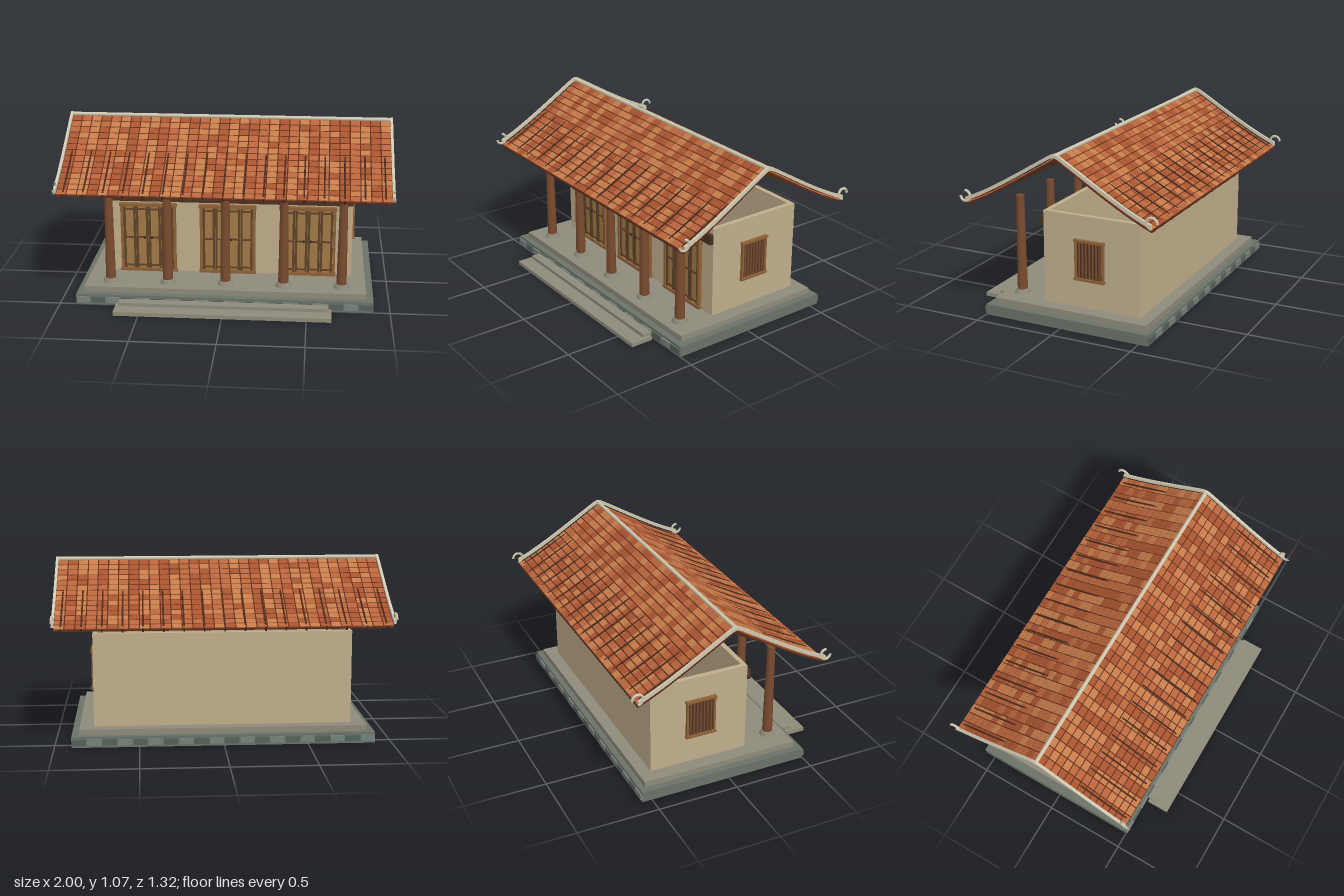
import * as THREE from 'three';
import { mergeGeometries } from 'three/addons/utils/BufferGeometryUtils.js';

const mats = {};
const mat = (color) => (mats[color] ??= new THREE.MeshStandardMaterial({ color }));
const COL = {
  stone: 0x6b7268, stoneDark: 0x56615c, stoneLight: 0x77837b, paving: 0x8f8b7b,
  wall: 0xc0ae8c, beam: 0x4a3322, wood: 0x7a4b2f, panel: 0xa07a45, frame: 0x8f6236,
  stile: 0x5f4229, iron: 0x2c2620, cream: 0xcfc8b0, sheet: 0x5e2c1b, rafter: 0x4a2a1a,
};

function add(parent, name, geometry, color, x = 0, y = 0, z = 0) {
  const m = new THREE.Mesh(geometry, mat(color));
  m.name = name;
  m.position.set(x, y, z);
  parent.add(m);
  return m;
}

// Box given by its min/max extents
function box(parent, name, color, [x0, x1], [y0, y1], [z0, z1]) {
  return add(parent, name, new THREE.BoxGeometry(x1 - x0, y1 - y0, z1 - z0), color,
    (x0 + x1) / 2, (y0 + y1) / 2, (z0 + z1) / 2);
}

function group(parent, name) {
  const g = new THREE.Group();
  g.name = name;
  parent.add(g);
  return g;
}

// Roof section: t runs from 0 at the ridge to 1 at the eave
const RIDGE_Z = -0.034, SPAN = 0.585, ROOF_X = 0.985;
const roofY = (t) => 1.045 - 0.36 * t + 0.03 * t ** 4;

// Curved band following both slopes, extruded along x
function roofBand(width, thick, lift, soften) {
  const top = [], bottom = [];
  for (let i = -24; i <= 24; i++) {
    const t = i / 24, y = roofY(Math.sqrt(t * t + soften * soften)) + lift;
    const u = -(RIDGE_Z + t * SPAN);
    top.push(new THREE.Vector2(u, y + thick / 2));
    bottom.unshift(new THREE.Vector2(u, y - thick / 2));
  }
  const g = new THREE.ExtrudeGeometry(new THREE.Shape([...top, ...bottom]), { depth: width, bevelEnabled: false });
  return g.translate(0, 0, -width / 2).rotateY(Math.PI / 2);
}

function buildPlatform(root) {
  const g = group(root, 'platform');
  box(g, 'foundation', COL.stone, [-0.9, 0.9], [0, 0.065], [-0.56, 0.5]);
  box(g, 'paving', COL.paving, [-0.855, 0.855], [0.065, 0.1], [-0.525, 0.46]);
  // Edging blocks along front and back
  const n = 20, w = 1.8 / n;
  for (let i = 0; i < n; i++) {
    const x = -0.9 + i * w, c = i % 2 ? COL.stoneDark : COL.stoneLight;
    for (const z of [-0.56, 0.5])
      box(g, 'edgingBlock', c, [x + 0.003, x + w - 0.003], [0.014, 0.05], [z - 0.01, z + 0.01]);
  }
  box(g, 'lowerStep', COL.paving, [-0.65, 0.65], [0, 0.024], [0.52, 0.66]);
  box(g, 'upperStep', COL.paving, [-0.63, 0.63], [0.024, 0.045], [0.5, 0.57]);
}

function buildWalls(root) {
  const g = group(root, 'walls'), y = [0.1, 0.66];
  box(g, 'frontWall', COL.wall, [-0.77, 0.77], y, [0.14, 0.17]);
  box(g, 'backWall', COL.wall, [-0.77, 0.77], y, [-0.45, -0.42]);
  for (const s of [-1, 1])
    add(g, 'sideWall', new THREE.BoxGeometry(0.03, 0.56, 0.56), COL.wall, s * 0.755, 0.38, -0.14);
  box(g, 'headerBeam', COL.beam, [-0.77, 0.77], [0.565, 0.625], [0.17, 0.194]);
}

function buildDoor(root, x) {
  const g = group(root, 'door');
  g.position.x = x;
  box(g, 'lintel', COL.frame, [-0.178, 0.178], [0.53, 0.55], [0.17, 0.197]);
  box(g, 'threshold', COL.frame, [-0.178, 0.178], [0.103, 0.122], [0.17, 0.195]);
  for (const s of [-1, 1]) {
    add(g, 'jamb', new THREE.BoxGeometry(0.016, 0.43, 0.022), COL.frame, s * 0.165, 0.325, 0.181);
    add(g, 'knob', new THREE.SphereGeometry(0.008, 10, 8), COL.iron, s * 0.022, 0.328, 0.194);
  }
  // Four leaves separated by dark stiles
  for (let i = 0; i < 4; i++) {
    const cx = -0.117 + i * 0.078;
    box(g, 'leaf', COL.panel, [cx - 0.039, cx + 0.039], [0.122, 0.53], [0.17, 0.18]);
    for (const s of [-1, 1])
      box(g, 'leafStile', COL.stile, [cx + s * 0.031 - 0.007, cx + s * 0.031 + 0.007], [0.122, 0.53], [0.17, 0.186]);
    for (const y of [0.14, 0.325, 0.51])
      box(g, 'leafRail', COL.stile, [cx - 0.037, cx + 0.037], [y - 0.005, y + 0.005], [0.17, 0.188]);
  }
}

function buildWindow(root, side) {
  const g = group(root, 'window');
  g.position.set(side * 0.77, 0, -0.132);
  g.rotation.y = side * Math.PI / 2;
  box(g, 'windowBack', COL.beam, [-0.09, 0.09], [0.285, 0.505], [0, 0.006]);
  for (const y of [0.278, 0.512])
    box(g, 'windowRail', COL.frame, [-0.098, 0.098], [y - 0.007, y + 0.007], [0, 0.022]);
  for (const s of [-1, 1])
    box(g, 'windowJamb', COL.frame, [s * 0.087 - 0.006, s * 0.087 + 0.006], [0.27, 0.52], [0, 0.018]);
  for (let i = 0; i < 7; i++)
    add(g, 'windowBar', new THREE.CylinderGeometry(0.006, 0.006, 0.22, 8), COL.wood, -0.066 + i * 0.022, 0.395, 0.01);
}

function buildColumns(root) {
  const g = group(root, 'columns');
  for (let i = -2; i <= 2; i++) {
    const x = i * 0.354;
    add(g, 'columnBase', new THREE.CylinderGeometry(0.039, 0.048, 0.026, 20), COL.paving, x, 0.113, 0.36);
    add(g, 'column', new THREE.CylinderGeometry(0.024, 0.031, 0.584, 16), COL.wood, x, 0.418, 0.36);
  }
}

function buildRoof(root) {
  const g = group(root, 'roof');
  add(g, 'roofDeck', roofBand(ROOF_X * 2, 0.01, -0.007, 0), COL.sheet);

  // Tiles sorted by colour, one merged mesh per colour
  const tones = [0xa8532f, 0xb9653c, 0xc67c4a], bins = [[], [], []];
  const rows = 14, cols = 32, w = 2 * ROOF_X / cols;
  let seed = 7;
  const rand = () => (seed = (seed * 16807) % 2147483647) / 2147483647;
  for (const s of [-1, 1]) for (let c = 0; c < cols; c++) for (let r = 0; r < rows; r++) {
    const t0 = r / rows, t1 = (r + 1) / rows;
    const dz = SPAN / rows, dy = roofY(t1) - roofY(t0);
    const tile = new THREE.BoxGeometry(w - 0.007, 0.008, Math.hypot(dz, dy) - 0.007);
    tile.rotateX(s * Math.atan2(-dy, dz));
    tile.translate(-ROOF_X + (c + 0.5) * w, (roofY(t0) + roofY(t1)) / 2, RIDGE_Z + s * (t0 + t1) / 2 * SPAN);
    bins[(c % 3 + (rand() < 0.35 ? 1 : 0)) % 3].push(tile);
  }
  bins.forEach((b, i) => add(g, 'tiles', mergeGeometries(b), tones[i]));

  // Straight rafters beneath, just breaking the surface where the slope sags
  const y0 = 1.017, y1 = 0.705, len = Math.hypot(SPAN, y0 - y1);
  for (const s of [-1, 1]) for (let i = 0; i < 17; i++) {
    const m = add(g, 'rafter', new THREE.BoxGeometry(0.01, 0.022, len), COL.rafter,
      -0.944 + i * 0.118, (y0 + y1) / 2, RIDGE_Z + s * SPAN / 2);
    m.rotation.x = s * Math.atan2(y0 - y1, SPAN);
  }

  // Ridge, gable trim and curled corner finials
  add(g, 'ridgeCap', new THREE.CylinderGeometry(0.012, 0.012, 1.97, 12).rotateZ(Math.PI / 2), COL.cream, 0, 1.056, RIDGE_Z);
  for (const s of [-1, 1]) {
    add(g, 'gableTrim', roofBand(0.016, 0.022, 0.024, 0.025), COL.cream, s * 0.99);
    for (const [z, start] of [[0.552, Math.PI], [-0.622, 0]]) {
      const curl = new THREE.TorusGeometry(0.032, 0.008, 8, 28, Math.PI * 1.5);
      curl.rotateZ(start).rotateY(Math.PI / 2);
      add(g, 'cornerCurl', curl, COL.cream, s * 0.991, 0.757, z);
    }
  }
}

export function createModel() {
  const root = new THREE.Group();
  root.name = 'tiledHall';
  buildPlatform(root);
  buildWalls(root);
  for (const x of [-0.495, 0, 0.495]) buildDoor(root, x);
  for (const s of [-1, 1]) buildWindow(root, s);
  buildColumns(root);
  buildRoof(root);
  return root;
}
